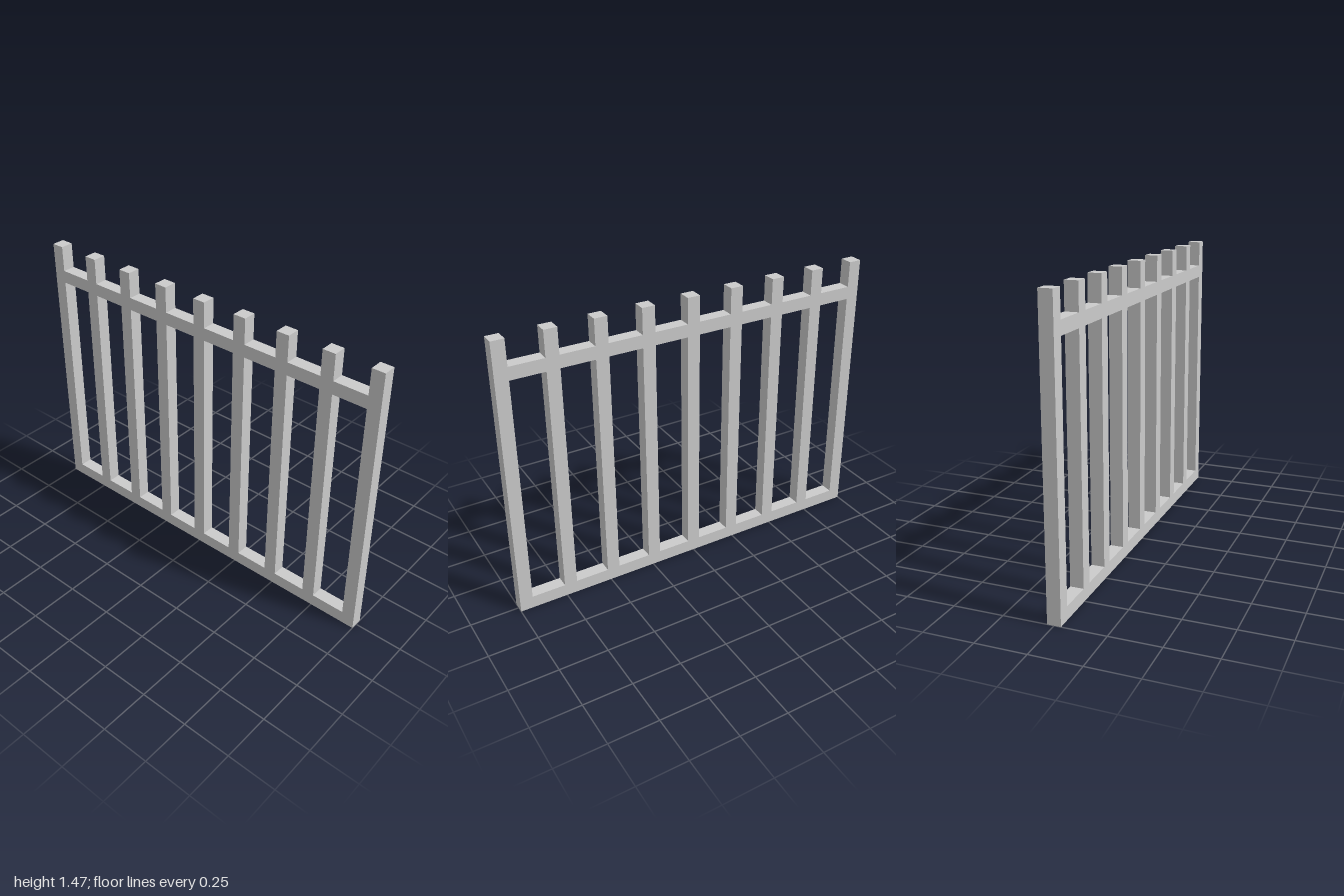
import * as THREE from 'three';

const T = 1 / 15;          // bar thickness
const HEIGHT = 22 / 15;    // top of the pickets
const RAIL_Y = 1.3;        // centre of the upper rail
const COUNT = 9;
const PITCH = (2 - T) / (COUNT - 1);

export function createModel() {
  const group = new THREE.Group();
  group.name = 'fence';
  const material = new THREE.MeshStandardMaterial({ color: 0xcccccc, flatShading: true });

  const addBar = (name, width, height, x, y) => {
    const bar = new THREE.Mesh(new THREE.BoxGeometry(width, height, T), material);
    bar.name = name;
    bar.position.set(x, y, 0);
    group.add(bar);
  };

  // Bottom rail carries all the pickets
  addBar('bottomRail', 2, T, 0, T / 2);

  for (let i = 0; i < COUNT; i++) {
    const x = -1 + T / 2 + i * PITCH;
    // Square picket standing on the bottom rail
    addBar(`picket${i + 1}`, T, HEIGHT - T, x, (HEIGHT + T) / 2);
    // Upper rail piece, flush between this picket and the next
    if (i < COUNT - 1) addBar(`topRail${i + 1}`, PITCH - T, T, x + PITCH / 2, RAIL_Y);
  }

  return group;
}
